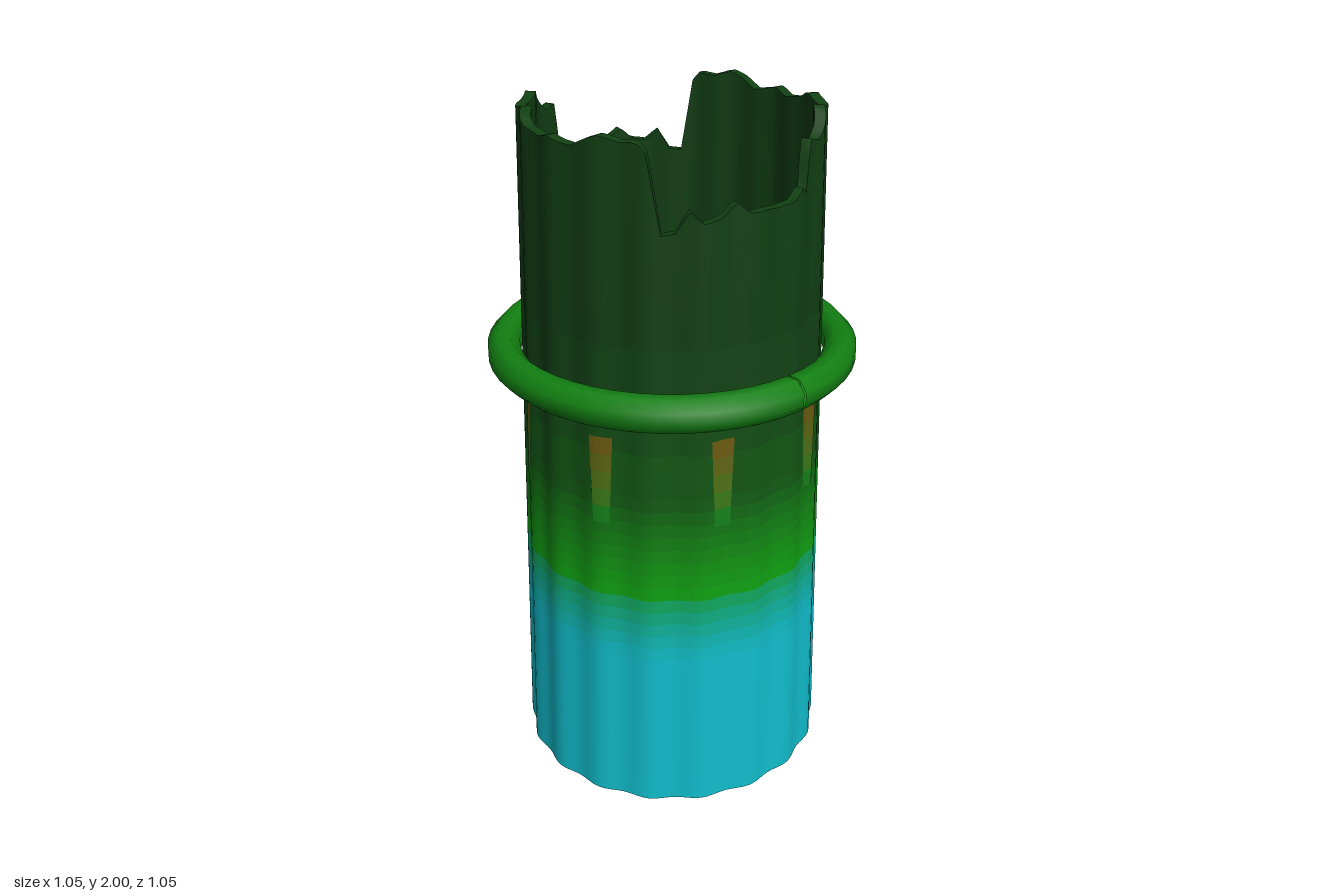
import * as THREE from 'three';

const TAU = Math.PI * 2;
const COLUMNS = 144;

// Broken rim heights over half a turn (degrees from the front, height); repeats twice
const RIM = [
  [0, 1.97], [5, 1.96], [10, 1.955], [17, 1.98], [23, 1.995], [30, 1.98], [37, 1.985], [40, 1.96],
  [45, 1.755], [50, 1.76], [55, 1.815], [60, 1.785], [67, 1.795], [72, 1.83], [77, 1.80], [84, 1.80],
  [90, 1.795], [97, 1.80], [102, 1.83], [105, 1.81], [110, 1.94], [115, 1.93], [120, 1.96],
  [127, 2.0], [134, 1.985], [142, 1.98], [150, 1.995], [157, 1.985], [163, 1.965], [172, 1.955], [180, 1.97],
];

function rimHeight(a) {
  const d = ((a * 360 / TAU) % 180 + 180) % 180;
  const i = Math.max(1, RIM.findIndex(p => p[0] >= d));
  const [d0, y0] = RIM[i - 1], [d1, y1] = RIM[i];
  return y0 + (y1 - y0) * (d - d0) / (d1 - d0);
}

// Fluted, tapering radii; the wall thins to nothing at the foot
const flute = a => 0.006 * Math.cos(18 * a);
const outerRadius = (a, y) => 0.455 - 0.0235 * y + flute(a);
const innerRadius = (a, y) => 0.455 - 0.0385 * y + flute(a);

const onWall = (radius, a, y) => {
  const r = radius(a, y);
  return [r * Math.sin(a), y, r * Math.cos(a)];
};

// Surface between two edge curves, each a function of u in 0..1
function strip(lower, upper, n, closed) {
  const pos = [], index = [];
  const count = closed ? n : n + 1;
  for (let i = 0; i < count; i++) pos.push(...lower(i / n), ...upper(i / n));
  for (let i = 0; i < n; i++) {
    const a = 2 * i, b = 2 * ((i + 1) % count);
    index.push(a, b, b + 1, a, b + 1, a + 1);
  }
  const g = new THREE.BufferGeometry();
  g.setAttribute('position', new THREE.Float32BufferAttribute(pos, 3));
  g.setIndex(index);
  g.computeVertexNormals();
  return g;
}

// Colour ramp from the cyan foot through green to the dark top
const RAMP = [[0.5, 0x10bccb], [0.72, 0x10a012], [1.0, 0x125a14], [1.35, 0x124214], [2, 0x103a12]]
  .map(([y, c]) => [y, new THREE.Color(c)]);

function rampColor(y) {
  if (y <= RAMP[0][0]) return RAMP[0][1].clone();
  const i = RAMP.findIndex(s => s[0] >= y);
  const [y0, c0] = RAMP[i - 1], [y1, c1] = RAMP[i];
  return c0.clone().lerp(c1, (y - y0) / (y1 - y0));
}

function addMesh(parent, name, geometry, color) {
  const mesh = new THREE.Mesh(geometry, new THREE.MeshStandardMaterial({ color }));
  mesh.name = name;
  parent.add(mesh);
  return mesh;
}

function addGroup(parent, name) {
  const g = new THREE.Group();
  g.name = name;
  parent.add(g);
  return g;
}

export function createModel() {
  const model = new THREE.Group();
  model.name = 'brokenTube';

  // Outer and inner walls, stacked in colour bands up to the broken rim
  const outer = addGroup(model, 'outerWall');
  const inner = addGroup(model, 'innerWall');
  const levels = [0, 0.5];
  for (let y = 0.54; y < 1.05; y += 0.04) levels.push(y);
  levels.push(1.15, 1.3, 1.45);
  levels.forEach((y0, i) => {
    const last = i === levels.length - 1;
    const y1 = last ? 2 : levels[i + 1];
    const color = rampColor(i === 0 ? 0 : (y0 + y1) / 2);
    const edge = (radius, top) => u =>
      onWall(radius, u * TAU, top ? (last ? rimHeight(u * TAU) : y1) : y0);
    addMesh(outer, 'outerBand', strip(edge(outerRadius, false), edge(outerRadius, true), COLUMNS, true), color);
    addMesh(inner, 'innerBand', strip(edge(innerRadius, true), edge(innerRadius, false), COLUMNS, true), color);
  });

  // Jagged rim joining the two walls
  const rimEdge = radius => u => onWall(radius, u * TAU, rimHeight(u * TAU));
  addMesh(model, 'brokenRim', strip(rimEdge(outerRadius), rimEdge(innerRadius), COLUMNS, true), 0x114012);

  // Collar ring with an eight-sided section and a hairline gap on one side
  const section = [];
  for (let i = 0; i <= 8; i++) {
    const t = Math.PI + (i + 0.5) * TAU / 8;
    section.push(new THREE.Vector2(0.48 + 0.049 * Math.cos(t), 1.303 + 0.051 * Math.sin(t)));
  }
  const ring = addMesh(model, 'collarRing',
    new THREE.LatheGeometry(section, 48, Math.PI / 2 + 0.012, TAU - 0.012), 0x128012);
  ring.material.side = THREE.DoubleSide;

  // Eight tapered inlays just below the collar, fading from brown to green
  const inlays = addGroup(model, 'inlays');
  const brown = new THREE.Color(0x6a5a10), green = new THREE.Color(0x14801a);
  const proud = (a, y) => outerRadius(a, y) + 0.002;
  const bands = 5;
  for (let k = 0; k < 8; k++) {
    const mid = (k + 0.5) * TAU / 8;
    const edge = t => u => {
      const half = 0.053 + 0.025 * t;
      return onWall(proud, mid + (2 * u - 1) * half, 0.93 + 0.26 * t);
    };
    for (let j = 0; j < bands; j++) {
      const color = green.clone().lerp(brown, j / (bands - 1));
      addMesh(inlays, 'inlayBand', strip(edge(j / bands), edge((j + 1) / bands), 6, false), color);
    }
  }
  return model;
}
